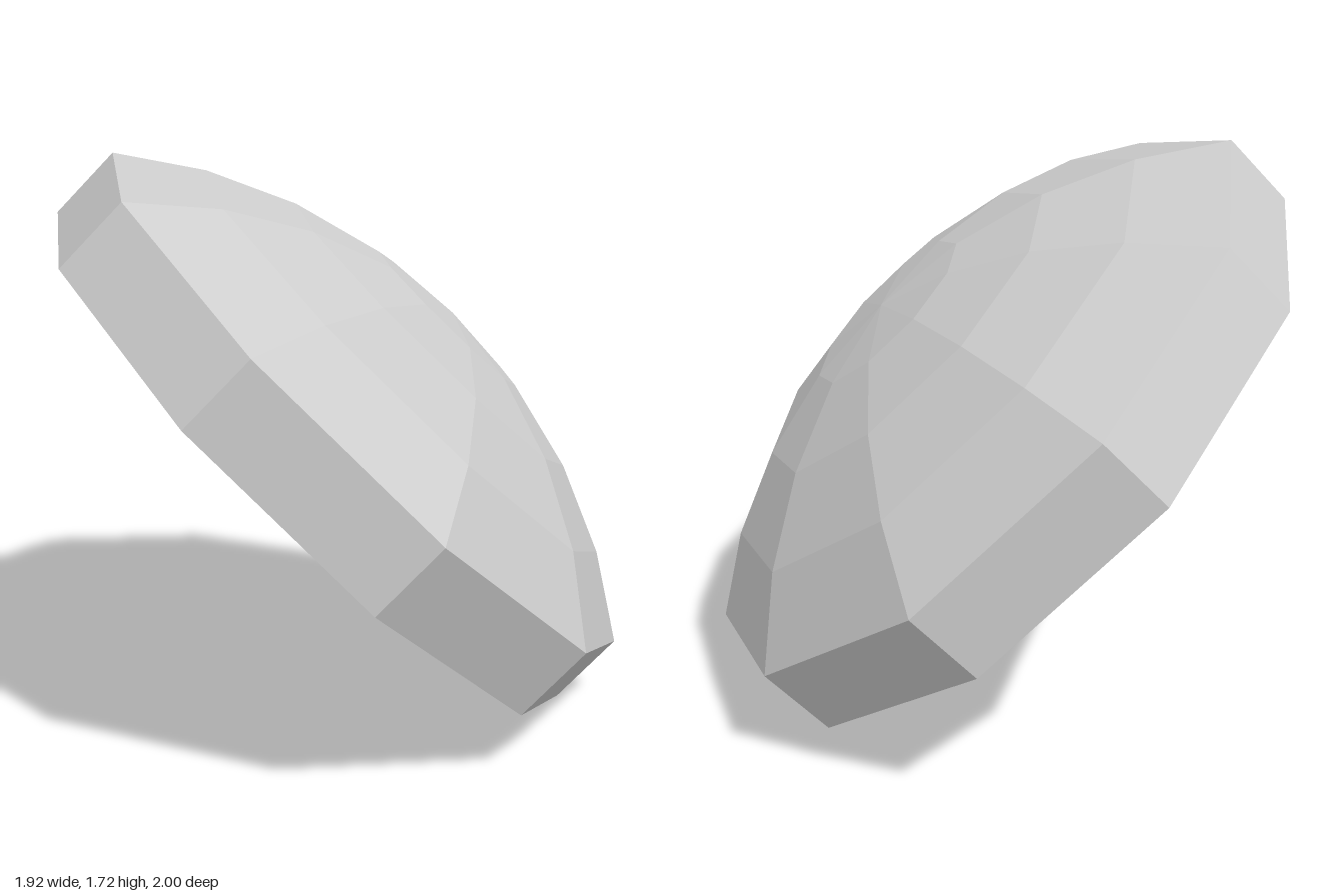
import * as THREE from 'three';

const SIDES = 10;
const RADIUS = 1.106;
const RIM = 0.255;                              // height of the straight rim
const CAP = THREE.MathUtils.degToRad(38.4);     // half-angle of the spherical cap
const BANDS = 4;

export function createModel() {
  const model = new THREE.Group();
  model.name = 'facetedDome';
  const grey = new THREE.MeshStandardMaterial({ color: 0xcccccc, flatShading: true });
  grey.name = 'light grey';

  const addLathe = (name, profile) => {
    const points = profile.map(([r, y]) => new THREE.Vector2(r, y));
    const mesh = new THREE.Mesh(new THREE.LatheGeometry(points, SIDES), grey);
    mesh.name = name;
    model.add(mesh);
  };

  // Flat underside and straight rim
  addLathe('base', [[0, -RIM], [RADIUS, -RIM]]);
  addLathe('rim', [[RADIUS, -RIM], [RADIUS, 0]]);

  // Shallow spherical cap in equal angular bands
  const sphere = RADIUS / Math.sin(CAP);
  const dome = [];
  for (let i = BANDS; i >= 0; i--) {
    const a = (CAP * i) / BANDS;
    dome.push([sphere * Math.sin(a), sphere * (Math.cos(a) - Math.cos(CAP))]);
  }
  addLathe('dome', dome);

  // Tilt the axis, with one rim corner pointing along "corner"
  const axis = new THREE.Vector3(0.534, 0.718, 0.444).normalize();
  const corner = new THREE.Vector3(-0.545, -0.18, 0.945);
  const side = new THREE.Vector3().crossVectors(axis, corner).normalize();
  corner.crossVectors(side, axis);
  model.quaternion.setFromRotationMatrix(new THREE.Matrix4().makeBasis(side, axis, corner));
  model.position.set(0.065, 0.955, 0.055);

  const root = new THREE.Group();
  root.name = 'tiltedDome';
  root.add(model);
  return root;
}
